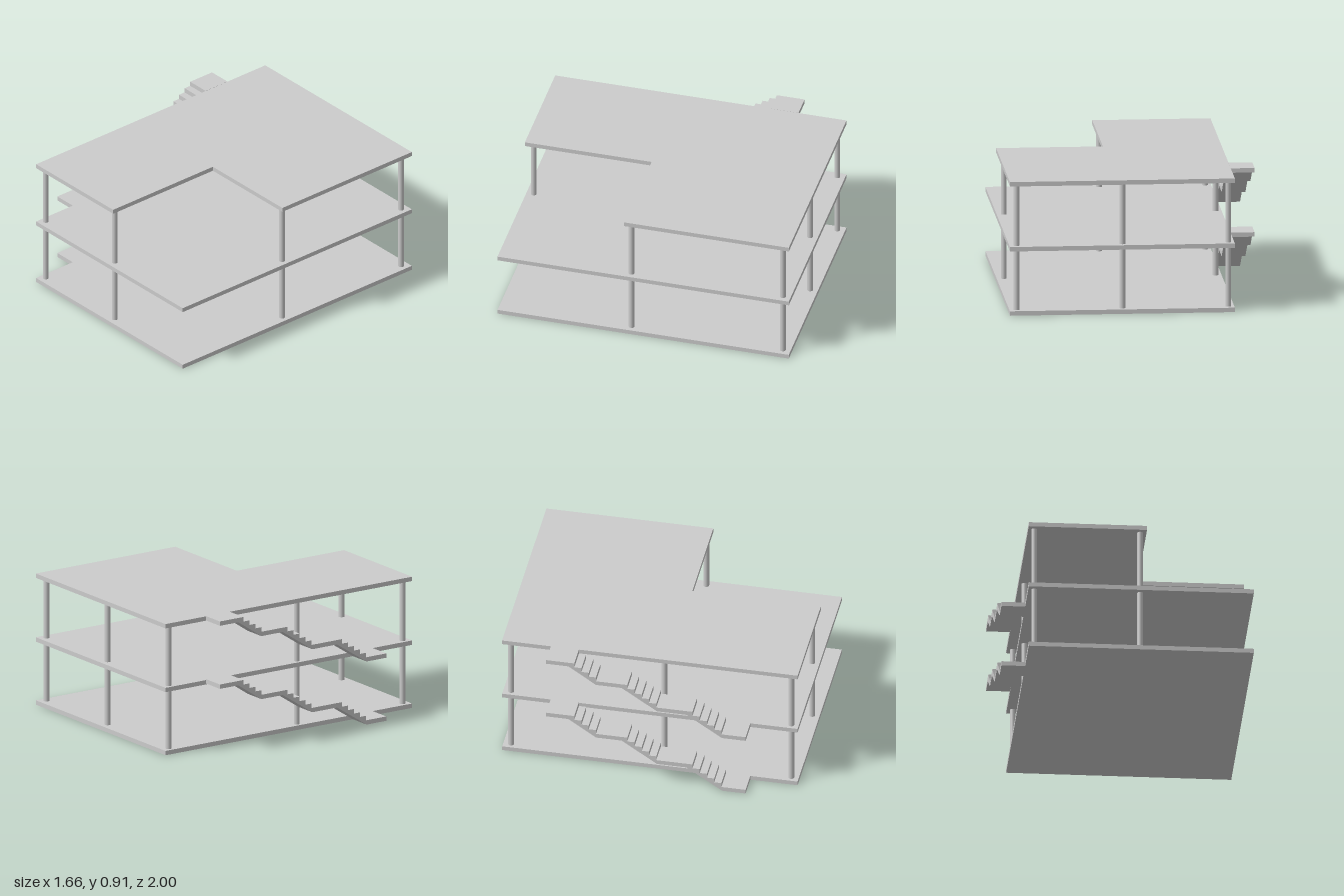
import * as THREE from 'three';

const material = new THREE.MeshStandardMaterial({ color: 0xcccccc });
const XL = -0.67, XR = 0.828, STAIR_X = -0.828;
const SLAB = 0.03, FLOOR = 0.435;      // slab thickness, first storey height
const LEVELS = [0, FLOOR, 0.875];      // slab undersides

function addMesh(parent, name, geometry) {
  const mesh = new THREE.Mesh(geometry, material);
  mesh.name = name;
  parent.add(mesh);
  return mesh;
}

// Horizontal slab from a plan outline of [x, z] points
function slabGeometry(outline, y) {
  const shape = new THREE.Shape(outline.map(([x, z]) => new THREE.Vector2(x, -z)));
  return new THREE.ExtrudeGeometry(shape, { depth: SLAB, bevelEnabled: false })
    .rotateX(-Math.PI / 2).translate(0, y, 0);
}

// Three flights with landings, drawn as a side profile in (-z, y)
function stairGeometry() {
  const riser = 0.0315, tread = 0.049;
  const flights = [[0.516, 5], [0.075, 5], [-0.333, 4]]; // start z, risers
  const points = [[0.68, 0], [0.68, SLAB]];
  let y = SLAB;
  for (const [start, count] of flights) {
    for (let i = 0; i < count; i++) {
      const z = start - i * tread;
      points.push([z, y], [z, y + riser]);
      y += riser;
    }
  }
  // Top landing, then the sloped underside back down
  points.push([-0.67, y], [-0.67, y - SLAB], [-0.52, y - SLAB],
    [-0.333, 0.315], [-0.16, 0.315], [0.08, 0.157], [0.28, 0.157], [0.52, 0]);
  const shape = new THREE.Shape(points.map(([z, h]) => new THREE.Vector2(-z, h)));
  return new THREE.ExtrudeGeometry(shape, { depth: XL - STAIR_X, bevelEnabled: false })
    .rotateY(Math.PI / 2).translate(STAIR_X, 0, 0);
}

export function createModel() {
  const building = new THREE.Group();
  building.name = 'building';

  // Floors and the L-shaped roof
  const rectangle = [[XL, 1], [XR, 1], [XR, -1], [XL, -1]];
  const notched = [[XL, 1], [0.117, 1], [0.117, 0.13], [XR, 0.13], [XR, -1], [XL, -1]];
  addMesh(building, 'groundSlab', slabGeometry(rectangle, LEVELS[0]));
  addMesh(building, 'upperSlab', slabGeometry(rectangle, LEVELS[1]));
  addMesh(building, 'roofSlab', slabGeometry(notched, LEVELS[2]));

  // Columns around the edge, none at the open front corner
  const columns = new THREE.Group();
  columns.name = 'columns';
  building.add(columns);
  const spots = [[-0.63, 0.95], [0.075, 0.95], [-0.63, 0.092], [0.78, 0.092],
    [-0.63, -0.947], [0.075, -0.947], [0.78, -0.947]];
  for (let level = 0; level < 2; level++) {
    const bottom = LEVELS[level] + SLAB;
    const height = LEVELS[level + 1] - bottom;
    const geometry = new THREE.CylinderGeometry(0.0195, 0.0195, height, 24);
    for (const [x, z] of spots) {
      addMesh(columns, 'column', geometry).position.set(x, bottom + height / 2, z);
    }
  }

  // One outside staircase per storey
  const stairs = stairGeometry();
  addMesh(building, 'lowerStaircase', stairs);
  addMesh(building, 'upperStaircase', stairs).position.y = FLOOR;

  return building;
}
